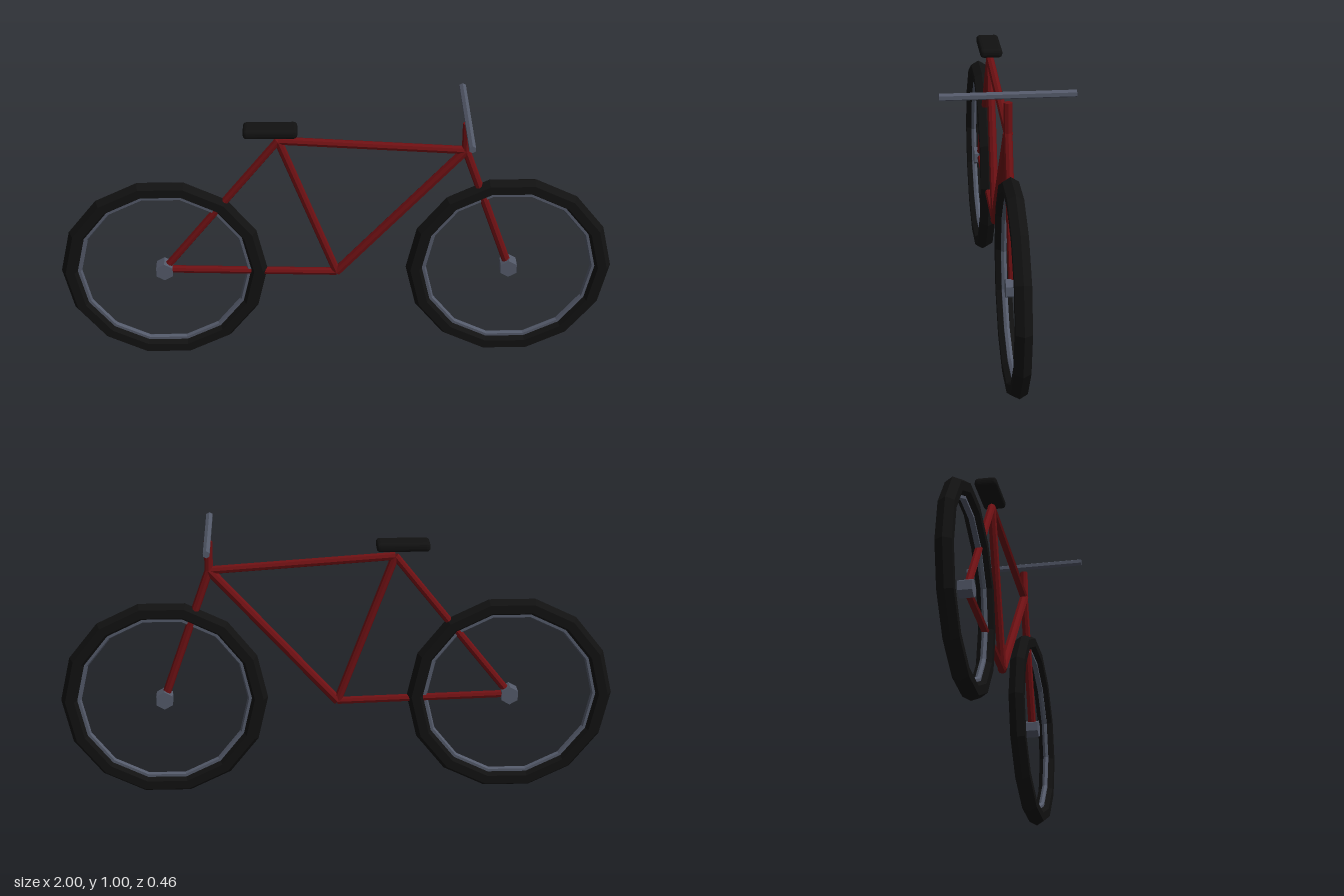
import * as THREE from 'three';
import { RoundedBoxGeometry } from 'three/addons/geometries/RoundedBoxGeometry.js';

const makeMaterial = (name, color) => {
  const m = new THREE.MeshStandardMaterial({ color, flatShading: true });
  m.name = name;
  return m;
};

export function createModel() {
  const red = makeMaterial('frameRed', 0x6e1013);
  const black = makeMaterial('rubberBlack', 0x111111);
  const grey = makeMaterial('metalGrey', 0x535969);

  const model = new THREE.Group();
  model.name = 'bicycle';

  const add = (parent, name, geometry, material, x = 0, y = 0) => {
    const mesh = new THREE.Mesh(geometry, material);
    mesh.name = name;
    mesh.position.set(x, y, 0);
    parent.add(mesh);
    return mesh;
  };

  // Frame joints in the bike's centre plane
  const rearHub = new THREE.Vector3(-0.626, 0.368, 0);
  const frontHub = new THREE.Vector3(0.626, 0.368, 0);
  const crank = new THREE.Vector3(0, 0.35, 0);
  const seatTop = new THREE.Vector3(-0.205, 0.9, 0);
  const head = new THREE.Vector3(0.455, 0.855, 0);
  const stemTop = new THREE.Vector3(0.455, 0.962, 0);

  // Straight tube between two joints
  const tube = (name, a, b, radius) => {
    const dir = b.clone().sub(a);
    const mesh = add(model, name, new THREE.CylinderGeometry(radius, radius, dir.length(), 8), red);
    mesh.position.copy(a).add(b).multiplyScalar(0.5);
    mesh.quaternion.setFromUnitVectors(new THREE.Vector3(0, 1, 0), dir.normalize());
  };
  tube('topTube', seatTop, head, 0.015);
  tube('downTube', crank, head, 0.017);
  tube('seatTube', crank, seatTop, 0.015);
  tube('chainStay', rearHub, crank, 0.014);
  tube('seatStay', rearHub, seatTop, 0.014);
  tube('fork', head, frontHub, 0.015);
  tube('stem', head, stemTop, 0.015);

  // Wheels: tyre, thin rim and hub
  for (const [name, hub] of [['rearWheel', rearHub], ['frontWheel', frontHub]]) {
    const wheel = new THREE.Group();
    wheel.name = name;
    wheel.position.copy(hub);
    add(wheel, 'tyre', new THREE.TorusGeometry(0.342, 0.032, 6, 14), black);
    add(wheel, 'rim', new THREE.TorusGeometry(0.311, 0.011, 6, 14), grey);
    add(wheel, 'hub', new THREE.CylinderGeometry(0.034, 0.034, 0.05, 6).rotateX(Math.PI / 2), grey);
    model.add(wheel);
  }

  // Saddle and straight handlebar
  add(model, 'saddle', new RoundedBoxGeometry(0.19, 0.034, 0.08, 2, 0.013), black, -0.232, 0.941);
  add(model, 'handlebar',
    new THREE.CylinderGeometry(0.013, 0.013, 0.456, 6).rotateX(Math.PI / 2), grey, 0.455, 0.987);

  return model;
}
